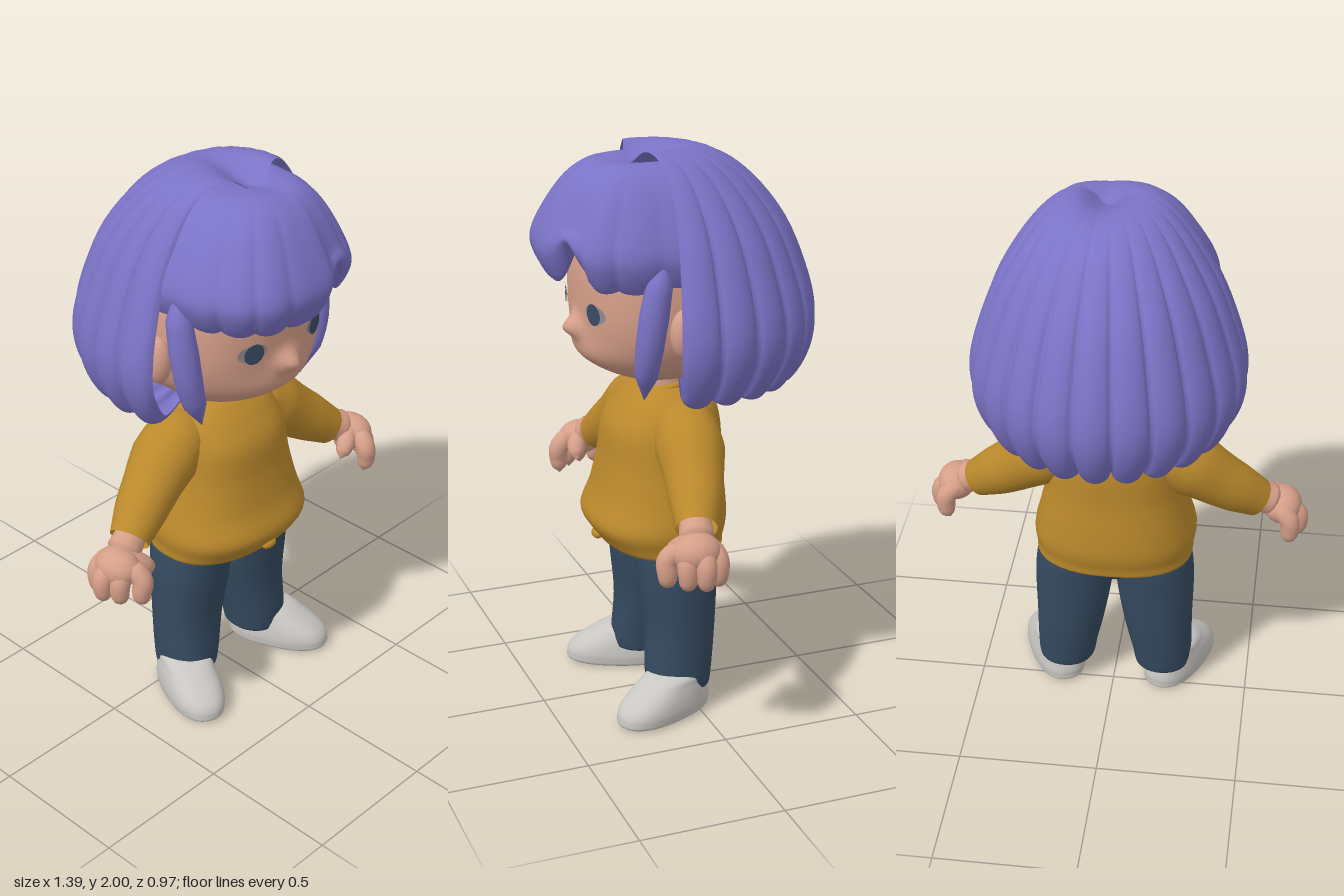
import * as THREE from 'three';
import { mergeVertices } from 'three/addons/utils/BufferGeometryUtils.js';
import { ParametricGeometry } from 'three/addons/geometries/ParametricGeometry.js';

const paint = (name, color, side = THREE.FrontSide) => {
  const m = new THREE.MeshStandardMaterial({ color, side });
  m.name = name;
  return m;
};
const V = (x, y, z = 0) => new THREE.Vector3(x, y, z);
const bump = (d, w) => Math.exp(-((d / w) ** 2));
const { lerp, smoothstep } = THREE.MathUtils;
const power = (t, e) => Math.sign(t) * Math.abs(t) ** e;
const spline = pts => new THREE.SplineCurve(pts.map(p => new THREE.Vector2(...p)));

// Merge seams and smooth the normals
function smooth(g) {
  g.deleteAttribute('normal');
  g.deleteAttribute('uv');
  const m = mergeVertices(g, 1e-5);
  m.computeVertexNormals();
  return m;
}

// Smooth surface from a rule (u, v) -> point
const surface = (rule, nu, nv) => smooth(new ParametricGeometry((u, v, p) => p.copy(rule(u, v)), nu, nv));

// Rounded rings [cx, y, cz, rx, rz] stacked from the bottom up
function loft(rings, s = 1, e = 0.85) {
  const mid = new THREE.CatmullRomCurve3(rings.map(r => V(r[0] * s, r[1], r[2])), false, 'catmullrom');
  const rad = new THREE.CatmullRomCurve3(rings.map(r => V(r[3], r[4])), false, 'catmullrom');
  return surface((u, v) => {
    const c = mid.getPoint(v), r = rad.getPoint(v), a = (u % 1) * Math.PI * 2;
    return V(c.x + Math.max(0, r.x) * power(Math.cos(a), e), c.y, c.z - Math.max(0, r.y) * power(Math.sin(a), e));
  }, 40, rings.length * 5);
}

// Tube along a path with a varying radius
function taper(points, radii, s = 1, sides = 14, n = 20) {
  const path = new THREE.CatmullRomCurve3(points.map(p => V(p[0] * s, p[1], p[2])));
  const g = new THREE.TubeGeometry(path, n, 1, sides);
  const pos = g.attributes.position, v = V(0, 0);
  for (let i = 0; i < pos.count; i++) {
    const t = Math.floor(i / (sides + 1)) / n, f = t * (radii.length - 1);
    const k = Math.min(Math.floor(f), radii.length - 2);
    const c = path.getPointAt(t);
    v.fromBufferAttribute(pos, i).sub(c).multiplyScalar(lerp(radii[k], radii[k + 1], f - k)).add(c);
    pos.setXYZ(i, v.x, v.y, v.z);
  }
  return smooth(g);
}

// Head: a soft box-like ellipsoid with a pointed nose and full muzzle
const HEAD = { x: 0.33, y: 0.31, z: 0.315, cy: 1.505, cz: 0.035, p: 2.6 };
const muzzle = (x, y) => 0.055 * bump(x, 0.045) * bump(y - 1.39, 0.035) + 0.045 * bump(x, 0.2) * bump(y - 1.29, 0.075);
const faceZ = (x, y) => HEAD.cz + muzzle(x, y) + HEAD.z *
  Math.max(0, 1 - Math.abs(x / HEAD.x) ** HEAD.p - Math.abs((y - HEAD.cy) / HEAD.y) ** HEAD.p) ** (1 / HEAD.p);

function headGeometry() {
  return surface((u, v) => {
    const a = (u % 1) * Math.PI * 2, b = (v - 0.5) * Math.PI;
    const d = [Math.cos(b) * Math.sin(a), Math.sin(b), Math.cos(b) * Math.cos(a)];
    const k = d.reduce((t, c) => t + Math.abs(c) ** HEAD.p, 0) ** (-1 / HEAD.p);
    const x = d[0] * k * HEAD.x, y = HEAD.cy + d[1] * k * HEAD.y;
    return V(x, y, HEAD.cz + d[2] * k * HEAD.z + muzzle(x, y) * smoothstep(d[2], 0, 0.4));
  }, 96, 72);
}

// Thin oval that follows the face
function faceOval(x, y, rx, ry, lift, tilt = 0) {
  const g = new THREE.CircleGeometry(1, 28).scale(rx, ry, 1).rotateZ(tilt).translate(x, y, 0);
  const p = g.attributes.position;
  for (let i = 0; i < p.count; i++) p.setZ(i, faceZ(p.getX(i), p.getY(i)) + lift);
  g.computeVertexNormals();
  return g;
}

// Hair around the sides and back: scalloped shell, tucked under the head
function hairShell() {
  const A = 1.88, lobes = 13;
  const profile = spline([[0, 1.95], [0.12, 1.975], [0.25, 1.995], [0.42, 1.97], [0.6, 1.885], [0.79, 1.74],
    [0.92, 1.58], [0.99, 1.45], [0.99, 1.35], [0.93, 1.26], [0.83, 1.19], [0.73, 1.175], [0.58, 1.18],
    [0.42, 1.195], [0.28, 1.23]]);
  return surface((u, v) => {
    const a = (u * 2 - 1) * A, q = profile.getPoint(v), r = Math.max(0, q.x);
    const lobe = Math.sqrt(Math.abs(Math.sin(u * lobes * Math.PI)));
    const k = r * (1 - 0.06 * (1 - lobe) * Math.min(1, r * 1.3));
    const crown = v < 0.5 ? (1 - r) ** 2 : 0;
    const x = lerp(0.015, 0.035, crown) + 0.475 * k * Math.sin(a);
    const z = 0.2 * crown - 0.485 * k * Math.cos(a);
    const tip = smoothstep(1.4 - q.y, 0, 0.2);
    const crease = 0.03 * bump(x - 0.04, 0.06) * smoothstep(z, -0.25, 0.15);
    return V(x, q.y + 0.035 * (1 - lobe) * tip - crease, z);
  }, lobes * 12, 56);
}

// Puffy fringe, parted on the left side of the forehead
function fringe() {
  const A = 2.5, lobes = 13;
  const profile = spline([[0, 1.94], [0.2, 1.955], [0.46, 1.95], [0.68, 1.895], [0.88, 1.79], [1, 1.69],
    [0.97, 1.62], [0.86, 1.56], [0.79, 1.6], [0.72, 1.72]]);
  return surface((u, v) => {
    const a = (u * 2 - 1) * A, q = profile.getPoint(v), r = Math.max(0, q.x);
    const lobe = Math.sqrt(Math.abs(Math.sin(u * lobes * Math.PI)));
    const part = bump(a - 0.32, a < 0.32 ? 0.15 : 0.24);
    const k = r * (1 - (0.03 * (1 - lobe) + 0.06 * part) * r);
    const y = q.y < 1.76 ? 1.76 - (1.76 - q.y) * (1 - 0.65 * part - 0.08 * (1 - lobe)) : q.y;
    const x = lerp(0.05, 0.002, r) + 0.352 * k * power(Math.sin(a), 0.7);
    const depth = Math.cos(a) > 0 ? 0.48 : 0.15;
    return V(x, y - 0.012 * bump(x - 0.05, 0.04) * (1 - r), lerp(0.13, 0, r) + depth * k * power(Math.cos(a), 0.7));
  }, 150, 44);
}

export function createModel() {
  const model = new THREE.Group();
  const skin = paint('skin', 0xd69f89);
  const hair = paint('hair', 0x7b73c6, THREE.DoubleSide);
  const knit = paint('mustard knit', 0xbb892c, THREE.DoubleSide);
  const denim = paint('dark blue cloth', 0x354a60, THREE.DoubleSide);
  const shoe = paint('off white', 0xc9c7c2);
  const iris = paint('eye blue', 0x3a4c66);
  const eyeRim = paint('eye rim', 0x938a90);
  const brow = paint('brow', 0x6d6ea0);
  const add = (name, geometry, material) => {
    const m = new THREE.Mesh(geometry, material);
    m.name = name;
    model.add(m);
    return m;
  };
  const ball = (x, y, z, rx, ry, rz) => new THREE.SphereGeometry(1, 24, 16).scale(rx, ry, rz).translate(x, y, z);

  // Head and neck
  add('head', headGeometry(), skin);
  add('neck', new THREE.CylinderGeometry(0.085, 0.09, 0.2, 28).translate(0, 1.18, 0.035), skin);

  // Hair
  add('hairShell', hairShell(), hair);
  add('fringe', fringe(), hair);

  // Sweater body and collar
  add('sweater', loft([[0, 0.615, 0.06, 0.24, 0.165], [0, 0.596, 0.06, 0.28, 0.202], [0, 0.63, 0.072, 0.285, 0.222],
    [0, 0.69, 0.08, 0.293, 0.243], [0, 0.78, 0.065, 0.272, 0.225], [0, 0.9, 0.057, 0.245, 0.207],
    [0, 1.02, 0.05, 0.228, 0.198], [0, 1.1, 0.035, 0.2, 0.165], [0, 1.145, 0.035, 0.155, 0.125],
    [0, 1.17, 0.035, 0.1, 0.095]], 1, 0.85), knit);
  const collar = add('collar', new THREE.TorusGeometry(0.1, 0.013, 10, 36).rotateX(Math.PI / 2 + 0.2), knit);
  collar.position.set(0, 1.165, 0.042);
  add('hemKnot', ball(0, 0.622, 0.29, 0.032, 0.018, 0.018), knit);

  // Hips
  add('hips', loft([[0, 0.49, 0.045, 0, 0], [0, 0.505, 0.045, 0.08, 0.08], [0, 0.56, 0.045, 0.22, 0.13],
    [0, 0.61, 0.045, 0.24, 0.14]], 1, 1), denim);

  for (const s of [-1, 1]) {
    // Face details and ears
    add('eyeRim', faceOval(s * 0.15, 1.467, 0.053, 0.032, 0.006), eyeRim);
    add('eye', faceOval(s * 0.147, 1.465, 0.036, 0.037, 0.009), iris);
    add('eyebrow', faceOval(s * 0.168, 1.583, 0.055, 0.016, 0.008, s * 0.08), brow);
    add('ear', ball(s * 0.338, 1.425, 0.09, 0.045, 0.085, 0.05), skin);

    // Lock in front of the ear
    add('sideLock', taper([[0.315, 1.7, 0.15], [0.32, 1.52, 0.185], [0.305, 1.35, 0.205], [0.245, 1.18, 0.2]],
      [0, 0.045, 0.05, 0.048, 0.04, 0], s), hair);

    // Sleeve
    add('sleeve', taper([[0.08, 1.07, 0.03], [0.22, 1.02, 0.035], [0.38, 0.905, 0.07], [0.51, 0.81, 0.115]],
      [0.06, 0.112, 0.118, 0.102, 0.09, 0.07], s, 24), knit);

    // Hand: wrist, palm, four curled fingers and a thumb
    add('wrist', taper([[0.46, 0.845, 0.1], [0.53, 0.81, 0.125], [0.6, 0.77, 0.145]],
      [0.05, 0.055, 0.06, 0], s), skin);
    add('palm', ball(s * 0.598, 0.765, 0.15, 0.07, 0.065, 0.085), skin);
    [0.63, 0.658, 0.63, 0.58].forEach((x, i) => {
      const z = 0.085 + 0.053 * i;
      add('finger', taper([[0.585, 0.78, 0.1 + 0.035 * i], [x - 0.005, 0.74, z], [x, 0.69, z], [x - 0.012, 0.642, z]],
        [0.03, 0.036, 0.036, 0.036, 0.035, 0.034, 0.032, 0.025, 0], s), skin);
    });
    add('thumb', taper([[0.57, 0.79, 0.16], [0.525, 0.755, 0.19], [0.482, 0.712, 0.2]],
      [0.035, 0.036, 0.035, 0.033, 0.026, 0], s), skin);

    // Trouser leg
    add('trouserLeg', loft([[0.185, 0.13, 0.055, 0.07, 0.08], [0.182, 0.085, 0.055, 0.1, 0.108],
      [0.178, 0.15, 0.053, 0.111, 0.118], [0.162, 0.3, 0.042, 0.127, 0.122], [0.149, 0.48, 0.045, 0.143, 0.137],
      [0.142, 0.59, 0.045, 0.14, 0.143], [0.14, 0.61, 0.045, 0.13, 0.13]], s, 0.92), denim);

    // Shoe, toe turned outwards
    const foot = add('shoe', loft([[0, 0.0, 0.13, 0, 0], [0, 0.002, 0.13, 0.085, 0.17], [0, 0.03, 0.13, 0.1, 0.192],
      [0, 0.07, 0.122, 0.099, 0.18], [0, 0.115, 0.095, 0.09, 0.14], [0, 0.15, 0.065, 0.075, 0.1],
      [0, 0.17, 0.06, 0, 0]]), shoe);
    foot.position.set(s * 0.188, 0, 0.012);
    foot.rotation.y = s * 0.4;
  }
  return model;
}
